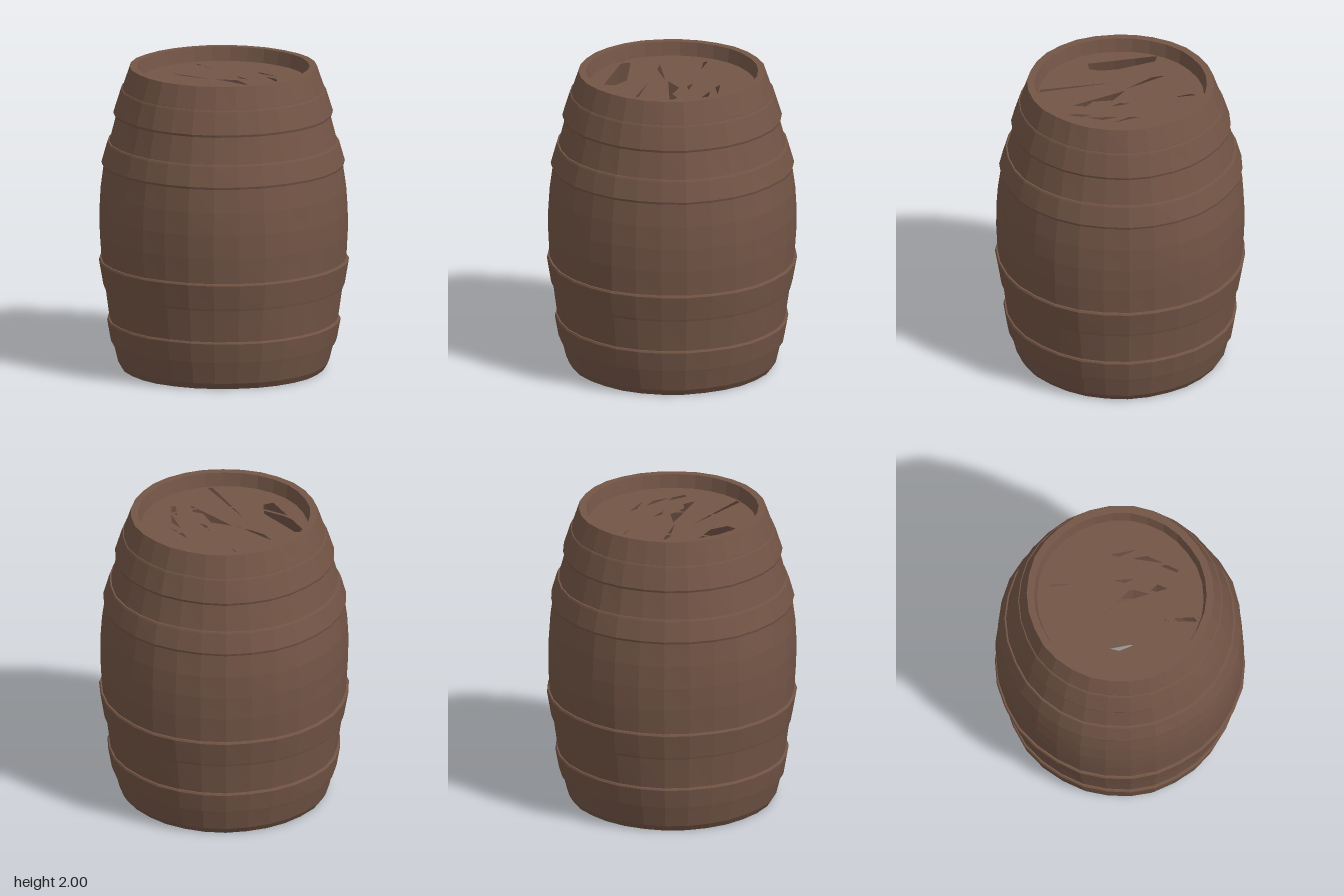
import * as THREE from 'three';

const SIDES = 30;

export function createModel() {
  const wood = new THREE.MeshStandardMaterial({ color: 0x735546, side: THREE.DoubleSide, flatShading: true });
  wood.name = 'brown wood';
  const dark = new THREE.MeshStandardMaterial({ color: 0x2b3033, side: THREE.DoubleSide, flatShading: true });
  dark.name = 'dark lining';

  const group = new THREE.Group();
  group.name = 'barrel';

  const add = (name, geometry, material) => {
    const mesh = new THREE.Mesh(geometry, material);
    mesh.name = name;
    group.add(mesh);
    return mesh;
  };
  const lathe = (points) =>
    new THREE.LatheGeometry(points.map(([r, y]) => new THREE.Vector2(r, y)), SIDES);

  // Slight hand-hewn unevenness that stays continuous around the barrel
  const roughen = (geometry) => {
    const p = geometry.attributes.position;
    for (let i = 0; i < p.count; i++) {
      const a = Math.atan2(p.getX(i), p.getZ(i));
      const k = 1 + 0.004 * Math.sin(5 * a + 3 * p.getY(i)) + 0.003 * Math.sin(11 * a);
      p.setX(i, p.getX(i) * k);
      p.setZ(i, p.getZ(i) * k);
    }
    geometry.computeVertexNormals();
    return geometry;
  };

  // Bulging body with both end rims; the top one turns down to the lid
  add('body', roughen(lathe([
    [0.6, 0], [0.66, 0], [0.685, 0.04], [0.72, 0.18], [0.742, 0.33], [0.772, 0.55],
    [0.795, 0.73], [0.805, 0.9], [0.806, 1.05], [0.797, 1.2], [0.775, 1.36],
    [0.738, 1.51], [0.692, 1.69], [0.655, 1.86], [0.608, 2],
    [0.56, 2], [0.54, 1.9],
  ])), wood);

  // Inner wall of the bottom rim
  add('bottomLining', lathe([[0.585, 0.13], [0.6, 0]]), dark);

  // Hoops: lower height and radius, upper height and radius
  const hoops = [
    [0.18, 0.735, 0.33, 0.758],
    [0.55, 0.785, 0.73, 0.812],
    [1.36, 0.79, 1.51, 0.754],
    [1.69, 0.713, 1.855, 0.668],
  ];
  hoops.forEach(([y0, r0, y1, r1], i) => {
    add(`hoop${i + 1}`, roughen(lathe([
      [r0 - 0.04, y0 - 0.005], [r0 - 0.004, y0 - 0.005], [r0, y0 + 0.01],
      [r1, y1 - 0.012], [r1 - 0.006, y1], [r1 - 0.04, y1],
    ])), wood);
  });

  // Weathered heads: thin discs with splintered gaps, given as x, z corners
  const gaps = [
    [[-0.04, -0.31], [0.15, -0.33], [0.02, -0.29]],
    [[0.26, -0.2], [0.34, -0.21], [0.4, -0.17], [0.38, -0.14]],
    [[-0.47, -0.145], [-0.3, -0.13], [-0.44, -0.12]],
    [[-0.03, -0.13], [0.1, -0.13], [0.04, -0.105]],
    [[-0.05, 0.055], [-0.25, 0.15], [-0.35, 0.15]],
    [[-0.04, 0.035], [0.07, -0.06], [0.2, -0.04], [0.26, -0.085], [0.34, -0.05]],
  ];
  const topGaps = [
    [[-0.36, 0.4], [-0.33, 0.34], [0, 0.3], [0.11, 0.36], [0.1, 0.43]],
    [[0, 0.155], [0.5, 0.17], [0.49, 0.2]],
    [[-0.34, -0.47], [-0.02, -0.46], [-0.2, -0.43]],
    [[0.1, -0.27], [0.2, -0.28], [0.5, -0.1]],
  ];
  const head = (name, radius, y, holes) => {
    const shape = new THREE.Shape();
    shape.absarc(0, 0, radius, 0, Math.PI * 2);
    for (const hole of holes) {
      shape.holes.push(new THREE.Path(hole.map(([x, z]) => new THREE.Vector2(x, -z))));
    }
    const geometry = new THREE.ShapeGeometry(shape, SIDES);
    geometry.rotateX(-Math.PI / 2);
    add(name, geometry, wood).position.y = y;
  };
  head('topHead', 0.543, 1.91, [...gaps, ...topGaps]);
  head('bottomHead', 0.588, 0.125, gaps);

  return group;
}
